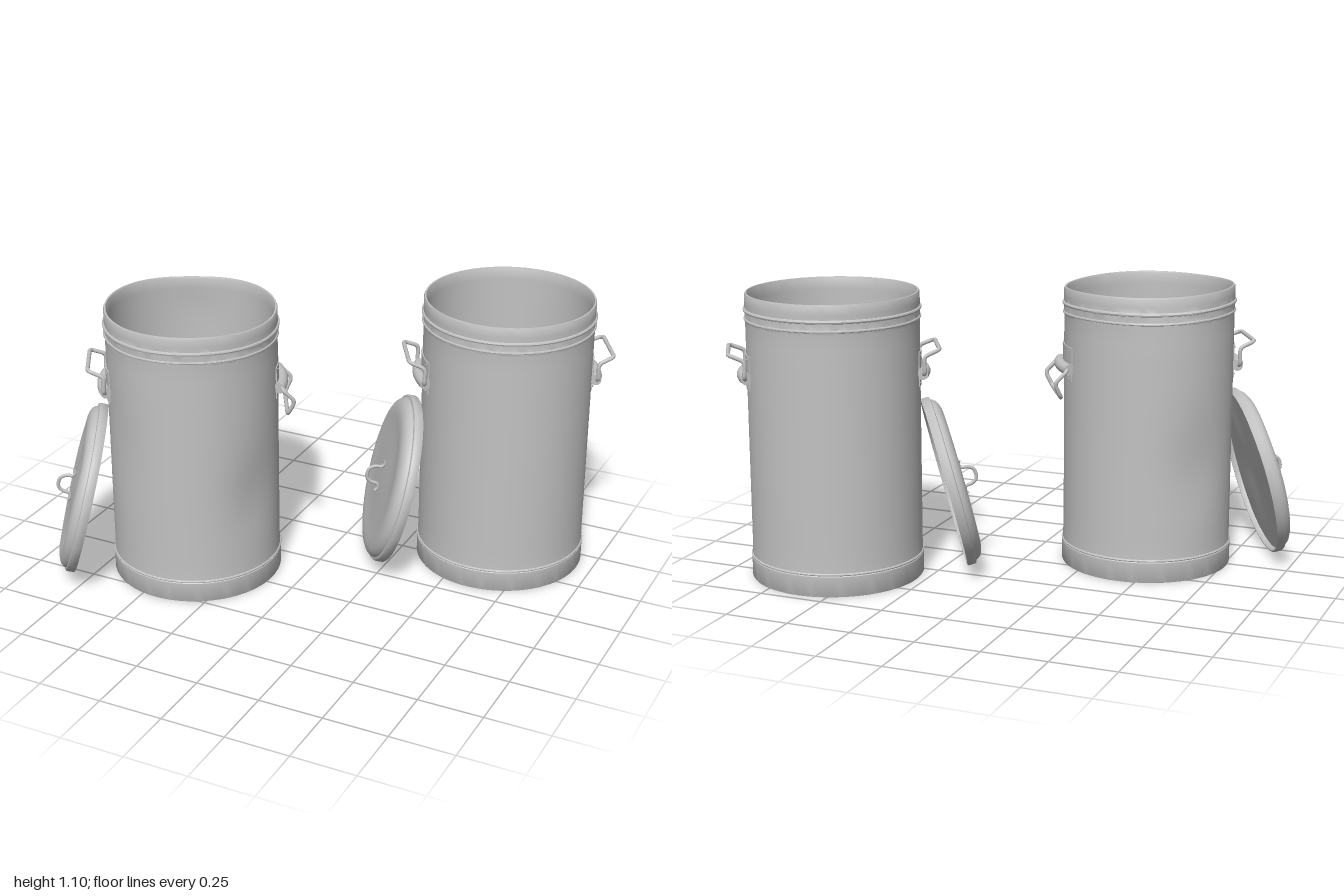
import * as THREE from 'three';
import { toCreasedNormals } from 'three/addons/utils/BufferGeometryUtils.js';

const steel = new THREE.MeshStandardMaterial({ color: 0xc2c2c2 });
steel.name = 'galvanised steel';

function add(parent, name, geometry) {
  const mesh = new THREE.Mesh(geometry, steel);
  mesh.name = name;
  parent.add(mesh);
  return mesh;
}

// Turned shape, optionally pushed out of true by a rule, with crisp seams
function turned(profile, segments, warp) {
  const geo = new THREE.LatheGeometry(profile.map(([r, y]) => new THREE.Vector2(r, y)), segments);
  if (warp) {
    const pos = geo.attributes.position;
    const v = new THREE.Vector3();
    for (let i = 0; i < pos.count; i++) {
      v.fromBufferAttribute(pos, i);
      warp(v);
      pos.setXYZ(i, v.x, v.y, v.z);
    }
  }
  return toCreasedNormals(geo, 0.75);
}

// Half-round raised ring in a profile
function bead(y, r, size) {
  return [-90, -45, 0, 45, 90].map((deg) => {
    const a = THREE.MathUtils.degToRad(deg);
    return [r + size * Math.cos(a), y + size * Math.sin(a)];
  });
}

// Drum profile: base, body, beads, rim, then down the inside to the floor
function drumProfile() {
  const p = [[0, 0], [0.328, 0], [0.33, 0.004], [0.33, 0.078], ...bead(0.086, 0.327, 0.005)];
  for (let y = 0.12; y < 0.97; y += 0.05) p.push([0.326, y]);
  p.push([0.326, 0.985], ...bead(1.0, 0.327, 0.005), ...bead(1.035, 0.327, 0.007));
  p.push([0.327, 1.06], [0.327, 1.09], [0.324, 1.097], [0.318, 1.097], [0.315, 1.09]);
  for (let y = 1.05; y > 0.05; y -= 0.05) p.push([0.315, y]);
  p.push([0.315, 0.03], [0, 0.03]);
  return p;
}

// Lid profile: flat underside, rim band, step, rounded shoulder, shallow dished top
const lidProfile = [
  [0, 0.02], [0.1, 0.02], [0.2, 0.02], [0.322, 0.02], [0.324, 0.003], [0.327, 0],
  [0.332, 0], [0.335, 0.004], [0.335, 0.03], [0.332, 0.035], [0.322, 0.037], [0.319, 0.046],
  [0.311, 0.056], [0.297, 0.064], [0.278, 0.069], [0.255, 0.07], [0.23, 0.068],
  [0.2, 0.066], [0.15, 0.066], [0.1, 0.067], [0.05, 0.068], [0, 0.068],
];

// Dents in the drum: angle, height, angular spread, height spread, depth
const drumDents = [
  [0.75, 0.38, 0.4, 0.18, 0.017],
  [3.55, 0.42, 0.4, 0.18, 0.016],
  [3.1, 1.1, 0.45, 0.09, 0.013],
  [-1.0, 0.6, 0.35, 0.2, 0.006],
];

function dentDrum(v) {
  if (v.y < 0.04) return;
  const angle = Math.atan2(v.x, v.z);
  const r = Math.hypot(v.x, v.z);
  let push = 0;
  for (const [a, y, sa, sy, depth] of drumDents) {
    const da = Math.atan2(Math.sin(angle - a), Math.cos(angle - a)) / sa;
    const dy = (v.y - y) / sy;
    push += depth * Math.exp(-da * da - dy * dy);
  }
  const k = r > 0 ? (r - push) / r : 1;
  v.x *= k;
  v.z *= k;
  // sagging, wavy rim
  const top = THREE.MathUtils.smoothstep(v.y, 0.85, 1.0);
  v.y -= top * (0.005 + 0.006 * Math.sin(angle + 0.5) + 0.003 * Math.sin(3 * angle - 1.6));
}

function dentLid(v) {
  const hit = (x, z, s) => Math.exp(-((v.x - x) ** 2 + (v.z - z) ** 2) / (s * s));
  v.y -= 0.012 * hit(-0.16, 0.12, 0.09) + 0.008 * hit(0.12, -0.15, 0.1) + 0.007 * hit(0.15, 0.16, 0.08);
}

// Round wire along points, with bends eased by short corner curves
function wire(points, radius, bend) {
  const pts = points.map((p) => new THREE.Vector3(...p));
  const path = new THREE.CurvePath();
  let from = pts[0];
  for (let i = 1; i < pts.length - 1; i++) {
    const a = pts[i].clone().add(pts[i - 1].clone().sub(pts[i]).setLength(bend));
    const b = pts[i].clone().add(pts[i + 1].clone().sub(pts[i]).setLength(bend));
    path.add(new THREE.LineCurve3(from, a));
    path.add(new THREE.QuadraticBezierCurve3(a, pts[i], b));
    from = b;
  }
  path.add(new THREE.LineCurve3(from, pts[pts.length - 1]));
  return new THREE.TubeGeometry(path, 96, radius, 8, false);
}

// Side handle on local +x: curved plate, rolled sleeve, rivets and swinging bail
function sideHandle(drop) {
  const g = new THREE.Group();
  g.name = 'sideHandle';
  const plate = (r, y0, y1, half) => {
    const s = new THREE.Shape();
    s.absarc(0, 0, r, -half, half, false);
    s.absarc(0, 0, r - 0.012, half, -half, true);
    const geo = new THREE.ExtrudeGeometry(s, { depth: y1 - y0, bevelEnabled: false, curveSegments: 10 });
    return geo.rotateX(-Math.PI / 2).translate(0, y0, 0);
  };
  add(g, 'upperPlate', plate(0.33, 0.78, 0.868, 0.28));
  add(g, 'lowerPlate', plate(0.33, 0.737, 0.79, 0.27));

  const arc = [];
  for (let i = -4; i <= 4; i++) {
    const a = i * 0.0765;
    arc.push(new THREE.Vector3(0.342 * Math.cos(a), 0.787, 0.342 * Math.sin(a)));
  }
  add(g, 'sleeve', new THREE.TubeGeometry(new THREE.CatmullRomCurve3(arc), 16, 0.022, 14));
  for (const s of [-1, 1]) {
    const cap = add(g, 'sleeveEnd', new THREE.CircleGeometry(0.022, 14));
    const a = s * 0.306;
    cap.position.set(0.342 * Math.cos(a), 0.787, 0.342 * Math.sin(a));
    cap.rotation.y = s > 0 ? -a : Math.PI - a;
    for (const y of [0.855, 0.748]) {
      const rivet = add(g, 'rivet', new THREE.SphereGeometry(0.004, 8, 6));
      const b = s * 0.22;
      rivet.position.set(0.33 * Math.cos(b), y, 0.33 * Math.sin(b));
    }
  }

  const bail = add(g, 'bail', wire([
    [-0.005, 0, -0.09], [0, 0, -0.116], [-0.004, 0.07, -0.116], [0.057, 0.094, -0.105],
    [0.057, 0.094, 0.105], [-0.004, 0.07, 0.116], [0, 0, 0.116], [-0.005, 0, 0.09],
  ], 0.008, 0.02));
  bail.position.set(0.335, 0.787, 0);
  bail.rotation.z = -drop;
  return g;
}

// Lid with its arched grip, resting against the drum on local -x
function lid(dented) {
  const g = new THREE.Group();
  g.name = 'lid';
  add(g, 'lidShell', turned(lidProfile, 64, dented ? dentLid : null));
  const grip = [[-0.07, 0.079], [-0.055, 0.071], [-0.039, 0.078], [-0.034, 0.105], [-0.02, 0.124], [0, 0.128]];
  const mirrored = grip.slice(0, -1).reverse().map(([x, y]) => [-x, y]);
  const curve = new THREE.CatmullRomCurve3([...grip, ...mirrored].map(([x, y]) => new THREE.Vector3(x, y, 0)));
  add(g, 'lidGrip', new THREE.TubeGeometry(curve, 40, 0.007, 8));
  g.rotation.z = THREE.MathUtils.degToRad(75.5);
  g.position.set(-0.412, 0.336, 0);
  return g;
}

function bin(name, dented) {
  const g = new THREE.Group();
  g.name = name;
  add(g, 'drum', turned(drumProfile(), 72, dented ? dentDrum : null));
  g.add(sideHandle(dented ? 2.4 : 0));
  const other = sideHandle(0);
  other.rotation.y = Math.PI;
  g.add(other, lid(dented));
  g.rotation.y = Math.PI / 6;
  return g;
}

export function createModel() {
  const model = new THREE.Group();
  model.name = 'dustbins';
  const dented = bin('dentedBin', true);
  dented.position.set(-0.436, 0, 0.216);
  const straight = bin('straightBin', false);
  straight.position.set(0.612, 0, -0.389);
  model.add(dented, straight);
  return model;
}
